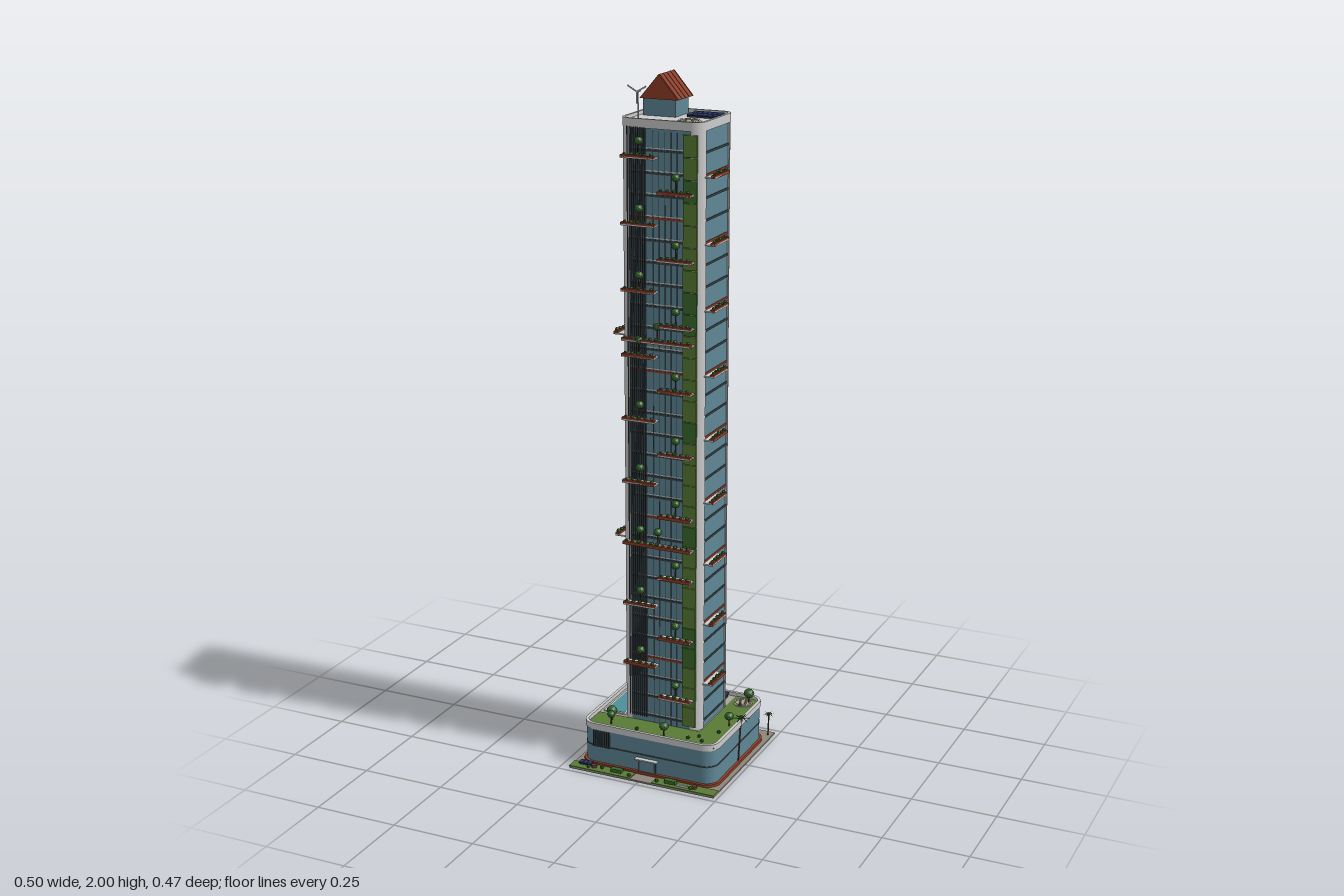
import * as THREE from 'three';

const mat = (color, extra = {}) => new THREE.MeshStandardMaterial({ color, ...extra });
const GREY = mat(0xcccccc), STONE = mat(0xaaa69c), PAVING = mat(0x8f867a), GLASS = mat(0x5f8796), DARK = mat(0x3a4347),
  RED = mat(0x8f3d27), GRASS = mat(0x5a7b35), LEAF = mat(0x2f5f28, { flatShading: true }),
  HEDGE = mat(0x3b6a2c), WOOD = mat(0x5d4030), WATER = mat(0x4f8f9b), SOLAR = mat(0x26325c), SAND = mat(0xc9a95a),
  FROND = mat(0x37602f, { side: THREE.DoubleSide });

// Tower and podium footprints: centre, width and depth
const T = { x: 0.008, z: -0.017, w: 0.245, d: 0.218, y0: 0.12, y1: 1.893 };
const P = { x: 0.008, z: 0, w: 0.418, d: 0.372 };
const FLOOR = 0.0617;

function mesh(parent, name, geo, material, x = 0, y = 0, z = 0) {
  const m = new THREE.Mesh(geo, material);
  m.name = name;
  m.position.set(x, y, z);
  parent.add(m);
  return m;
}
// Box standing on y
function box(parent, name, material, w, h, d, x, y, z) {
  return mesh(parent, name, new THREE.BoxGeometry(w, h, d), material, x, y + h / 2, z);
}
function group(parent, name, x = 0, y = 0, z = 0) {
  const g = new THREE.Group();
  g.name = name;
  g.position.set(x, y, z);
  parent.add(g);
  return g;
}
function roundRect(path, w, d, r) {
  const a = w / 2 - r, b = d / 2 - r;
  path.absarc(a, b, r, 0, Math.PI / 2);
  path.absarc(-a, b, r, Math.PI / 2, Math.PI);
  path.absarc(-a, -b, r, Math.PI, Math.PI * 1.5);
  path.absarc(a, -b, r, Math.PI * 1.5, Math.PI * 2);
  path.closePath();
  return path;
}
function extrudeUp(shape, h) {
  return new THREE.ExtrudeGeometry(shape, { depth: h, bevelEnabled: false, curveSegments: 5 }).rotateX(-Math.PI / 2);
}
// Rounded slab, or a ring when a wall thickness is given
function slab(parent, name, material, f, grow, r, y, h, wall = 0) {
  const s = roundRect(new THREE.Shape(), f.w + grow * 2, f.d + grow * 2, r);
  if (wall) s.holes.push(roundRect(new THREE.Path(), f.w + (grow - wall) * 2, f.d + (grow - wall) * 2, r - wall));
  return mesh(parent, name, extrudeUp(s, h), material, f.x, y, f.z);
}
function shrub(parent, r, x, y, z) {
  const m = mesh(parent, 'shrub', new THREE.IcosahedronGeometry(r, 0), LEAF, x, y + r * 0.6, z);
  m.rotation.y = x * 90 + z * 40;
}
function tree(parent, x, y, z, h, r) {
  const g = group(parent, 'tree', x, y, z);
  mesh(g, 'trunk', new THREE.CylinderGeometry(0.0015, 0.0025, h, 5), WOOD, 0, h / 2, 0);
  mesh(g, 'crown', new THREE.IcosahedronGeometry(r, 1), LEAF, 0, h, 0).scale.y = 0.9;
}
function palm(parent, x, z, h, r, lean) {
  const g = group(parent, 'palm', x, 0.005, z);
  const curve = new THREE.QuadraticBezierCurve3(new THREE.Vector3(0, 0, lean), new THREE.Vector3(0, h * 0.5, lean * 0.6), new THREE.Vector3(0, h, 0));
  mesh(g, 'palmTrunk', new THREE.TubeGeometry(curve, 6, 0.0022, 5), WOOD);
  for (let i = 0; i < 10; i++) {
    const arm = group(g, 'frond', 0, h, 0);
    arm.rotation.y = i * Math.PI / 5 + 0.2;
    const f = mesh(arm, 'leafBlade', new THREE.ConeGeometry(0.004, r, 4).scale(1, 1, 0.9).rotateZ(-Math.PI / 2).scale(1, 0.25, 1), FROND, r * 0.48, -0.003, 0);
    f.rotation.z = i % 2 ? -0.45 : 0.1;
  }
}
function solarRow(parent, n, x0, x1, z, d, y) {
  const step = (x1 - x0) / n;
  for (let i = 0; i < n; i++) {
    box(parent, 'solarPanel', SOLAR, step * 0.93, 0.003, d, x0 + step * (i + 0.5), y + 0.006, z).rotation.x = 0.12;
  }
  box(parent, 'solarFrame', DARK, x1 - x0, 0.005, d * 0.5, (x0 + x1) / 2, y, z);
}
// Balcony reaching out along local +z
function balcony(parent, len, x, y, z, turn, trees, depth = 0.032) {
  const b = group(parent, 'balcony', x, y, z);
  b.rotation.y = turn;
  box(b, 'balconySlab', GREY, len, 0.004, depth, 0, -0.004, depth / 2);
  box(b, 'planter', RED, len, 0.009, 0.012, 0, -0.004, depth - 0.006);
  const n = Math.round(len / 0.02);
  for (let i = 0; i < n; i++) shrub(b, 0.005 + (i % 3) * 0.001, -len / 2 + (i + 0.5) * len / n, 0.004, depth - 0.006);
  for (const t of trees) tree(b, t, 0.003, depth - 0.009, 0.042, 0.0125);
}
function seatingCircle(parent, x, y, z, r) {
  const g = group(parent, 'seatingCircle', x, y, z);
  mesh(g, 'terrace', new THREE.CylinderGeometry(r, r, 0.002, 28), STONE, 0, 0.001, 0);
  for (let i = 0; i < 8; i++) {
    mesh(g, 'curvedBench', new THREE.TorusGeometry(r * 0.82, 0.0025, 4, 4, 0.55).rotateX(Math.PI / 2).rotateY(i * Math.PI / 4), GREY, 0, 0.004, 0);
  }
  for (let i = 0; i < 4; i++) {
    const a = i * Math.PI / 2 + 0.5;
    box(g, 'seat', SAND, 0.005, 0.006, 0.005, Math.cos(a) * r * 0.4, 0.002, Math.sin(a) * r * 0.4);
  }
}

function buildGround(root) {
  const g = group(root, 'ground');
  box(g, 'pavement', PAVING, 0.461, 0.005, 0.461, 0.0085, 0, 0.0035);
  for (const [x0, x1] of [[-0.222, -0.025], [0.043, 0.239]]) box(g, 'lawn', GRASS, x1 - x0, 0.003, 0.037, (x0 + x1) / 2, 0.005, 0.2155);
  solarRow(g, 3, -0.2, -0.16, 0.208, 0.018, 0.008);
  for (const x of [-0.077, 0.095]) box(g, 'hedge', HEDGE, 0.034, 0.01, 0.016, x, 0.008, 0.213);
  for (const x of [-0.15, 0.17]) mesh(g, 'roundTable', new THREE.CylinderGeometry(0.008, 0.008, 0.008, 10), WOOD, x, 0.012, 0.214);
  box(g, 'bench', GREY, 0.035, 0.006, 0.006, 0.135, 0.008, 0.22);
  for (const [x, z] of [[-0.165, 0.222], [-0.125, 0.213], [-0.033, 0.224], [0.055, 0.222], [0.162, 0.224]]) shrub(g, 0.006, x, 0.008, z);
  palm(g, -0.222, -0.204, 0.13, 0.031, 0.012);
  palm(g, 0.219, -0.012, 0.14, 0.031, 0.02);
  palm(g, 0.226, -0.21, 0.07, 0.018, 0.006);
  palm(g, -0.22, 0, 0.06, 0.016, 0.004);
}

function buildPodium(root) {
  const g = group(root, 'podium');
  slab(g, 'plinthLedge', RED, P, 0.008, 0.045, 0.005, 0.008);
  slab(g, 'podiumGlass', GLASS, P, 0, 0.038, 0.012, 0.106);
  slab(g, 'midBand', DARK, P, 0.0015, 0.0395, 0.063, 0.004);
  slab(g, 'cornice', GREY, P, 0.003, 0.041, 0.116, 0.006);
  slab(g, 'parapet', GREY, P, 0.003, 0.041, 0.122, 0.013, 0.009);
  slab(g, 'podiumRoof', STONE, P, -0.004, 0.034, 0.118, 0.005);
  // Facade details
  for (let i = 0; i < 8; i++) box(g, 'louvre', DARK, 0.003, 0.05, 0.006, -0.163 + i * 0.007, 0.063, P.d / 2 + 0.002);
  box(g, 'door', DARK, 0.056, 0.045, 0.004, 0.008, 0.005, P.d / 2);
  box(g, 'doorGlass', GLASS, 0.048, 0.04, 0.006, 0.008, 0.005, P.d / 2);
  box(g, 'canopy', GREY, 0.07, 0.004, 0.016, 0.008, 0.05, P.d / 2 + 0.006);
  for (let i = 0; i < 6; i++) box(g, 'greenWall', i % 2 ? HEDGE : GRASS, 0.006, 0.09, 0.028, P.x - P.w / 2 - 0.001, 0.018, -0.05 + i * 0.028);
  // Roof garden
  box(g, 'lawn', GRASS, 0.406, 0.003, 0.083, 0.01, 0.122, 0.132);
  box(g, 'lawn', GRASS, 0.082, 0.003, 0.269, 0.172, 0.122, -0.044);
  box(g, 'poolEdge', GREY, 0.07, 0.005, 0.244, -0.15, 0.122, -0.044);
  box(g, 'poolWater', WATER, 0.059, 0.006, 0.232, -0.15, 0.122, -0.044);
  solarRow(g, 10, -0.093, 0.11, -0.158, 0.038, 0.123);
  seatingCircle(g, 0.17, 0.125, -0.14, 0.028);
  for (const [x, z, r] of [[-0.134, 0.127, 0.016], [-0.124, 0.152, 0.012], [0.05, 0.161, 0.014], [0.185, -0.15, 0.016], [0.194, 0.02, 0.014]]) tree(g, x, 0.124, z, 0.032, r);
  for (const [x, z] of [[-0.04, 0.155], [0.12, 0.148], [0.145, 0.125], [0.186, 0.077], [0.17, -0.033], [0.17, -0.118], [0.165, 0.15]]) shrub(g, 0.006, x, 0.125, z);
}

function buildTower(root) {
  const g = group(root, 'tower');
  const r = 0.032, h = T.y1 - T.y0, iw = T.w - 2 * r, id = T.d - 2 * r;
  box(g, 'glassFrontBack', GLASS, iw, h - 0.02, T.d - 0.008, T.x, T.y0, T.z);
  box(g, 'glassSides', GLASS, T.w - 0.008, h - 0.02, id, T.x, T.y0, T.z);
  // Rounded corner piers
  const sector = new THREE.Shape().moveTo(0, 0).lineTo(r, 0).absarc(0, 0, r, 0, Math.PI / 2).lineTo(0, 0);
  [[1, -1], [-1, -1], [-1, 1], [1, 1]].forEach(([sx, sz], i) => {
    mesh(g, 'cornerPier', extrudeUp(sector, h - 0.01), GREY, T.x + sx * iw / 2, T.y0, T.z + sz * id / 2).rotation.y = i * Math.PI / 2;
  });
  // Floor bands and spandrels
  for (let i = 1; i < 29; i++) {
    const y = 0.08 + i * FLOOR;
    if (y < 0.13) continue;
    box(g, 'floorBand', i % 7 === 4 ? RED : DARK, iw, 0.006, T.d - 0.003, T.x, y, T.z);
    box(g, 'floorBand', i % 3 === 0 ? RED : DARK, T.w - 0.003, 0.006, id, T.x, y, T.z);
    box(g, 'spandrel', GREY, iw, 0.003, T.d - 0.006, T.x, y + 0.008, T.z);
  }
  // Front fins and mullions
  const front = T.z + T.d / 2;
  for (let i = 0; i < 9; i++) box(g, 'fin', DARK, 0.0025, h - 0.04, 0.007, -0.09 + i * 0.0065, T.y0 + 0.02, front - 0.001);
  for (let i = 0; i < 5; i++) box(g, 'mullion', DARK, 0.0012, h - 0.03, 0.003, -0.015 + i * 0.018, T.y0, front - 0.004);
  // Vertical gardens on the front and the right side
  for (let i = 0; i < 28; i++) {
    const y = 0.135 + i * FLOOR;
    box(g, 'verticalGarden', [GRASS, HEDGE, GRASS, GRASS][(i * 3 + (i >> 2)) % 4], 0.041, FLOOR - 0.002, 0.006, 0.0975, y, front);
    box(g, 'verticalGarden', [GRASS, HEDGE, HEDGE][(i * 2 + (i >> 1)) % 3], 0.006, FLOOR - 0.002, 0.034, T.x - T.w / 2, y, -0.094);
  }
  // Balconies: staggered on the front, stacked on the left, two on the right
  for (let k = 0; k < 9; k++) {
    const y = k * 0.185;
    balcony(g, 0.1, -0.047, 0.315 + y, front, 0, [0.002]);
    balcony(g, 0.1, 0.062, 0.222 + y, front, 0, [0.003]);
    balcony(g, 0.098, T.x + T.w / 2, 0.267 + y, 0.019, Math.PI / 2, [], 0.029);
  }
  for (const y of [0.685, 1.285]) {
    balcony(g, 0.21, 0.008, y, front, 0, [0.002]);
    balcony(g, 0.175, T.x - T.w / 2, y, -0.018, -Math.PI / 2, [0]);
  }
}

function buildRoof(root) {
  const g = group(root, 'roof'), y = 1.885;
  slab(g, 'roofSlab', GREY, T, -0.003, 0.029, 1.872, 0.013);
  slab(g, 'roofParapet', GREY, T, 0.001, 0.033, 1.87, 0.025, 0.008);
  // Gabled roof house
  box(g, 'houseWalls', GLASS, 0.098, 0.05, 0.085, -0.048, y, -0.066);
  const gable = new THREE.Shape().moveTo(-0.058, 0).lineTo(0.058, 0).lineTo(0, 0.068).closePath();
  mesh(g, 'gableRoof', new THREE.ExtrudeGeometry(gable, { depth: 0.104, bevelEnabled: false }), RED, -0.047, 1.932, -0.12);
  for (const s of [-1, 1]) for (let i = 0; i < 5; i++) {
    const rib = box(g, 'roofRib', DARK, 0.088, 0.002, 0.001, -0.047 + s * 0.029, 1.965, -0.115 + i * 0.0235);
    rib.rotation.z = -s * Math.atan2(0.068, 0.058);
  }
  solarRow(g, 6, 0.027, 0.116, -0.081, 0.023, y);
  solarRow(g, 6, 0.027, 0.116, -0.047, 0.023, y);
  seatingCircle(g, 0.066, y, 0.032, 0.035);
  // Wind turbine
  const t = group(g, 'windTurbine', -0.072, y, 0.06);
  mesh(t, 'mast', new THREE.CylinderGeometry(0.0015, 0.0025, 0.078, 8), GREY, 0, 0.039, 0);
  box(t, 'nacelle', GREY, 0.005, 0.005, 0.018, 0, 0.075, -0.002);
  for (let i = 0; i < 3; i++) {
    const arm = group(t, 'rotorArm', 0, 0.0775, 0.008);
    arm.rotation.z = i * Math.PI * 2 / 3 + Math.PI;
    box(arm, 'blade', GREY, 0.004, 0.032, 0.0012, 0, 0, 0);
  }
}

export function createModel() {
  const root = new THREE.Group();
  root.name = 'gardenTower';
  buildGround(root);
  buildPodium(root);
  buildTower(root);
  buildRoof(root);
  return root;
}
